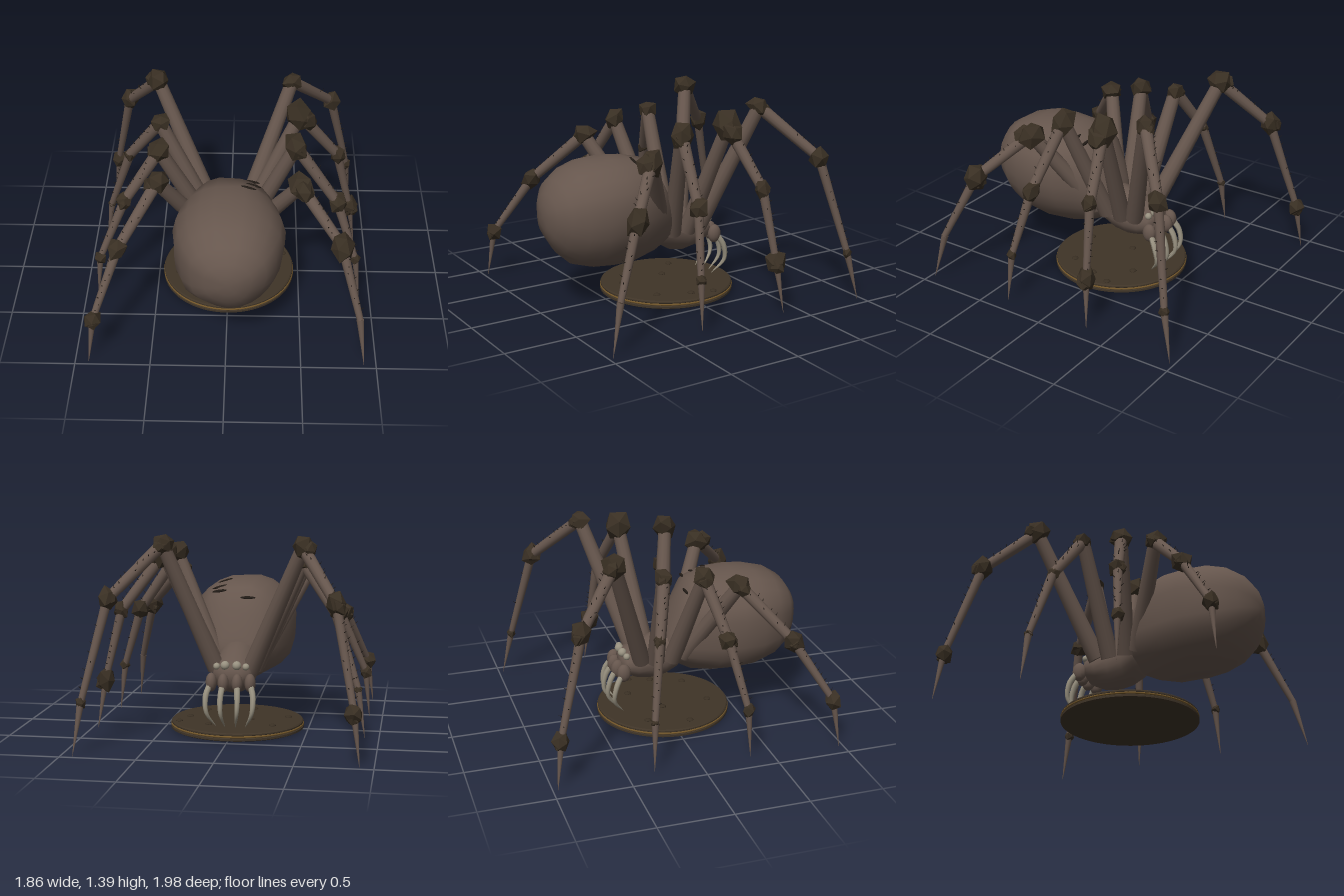
import * as THREE from 'three';
import { mergeGeometries, mergeVertices } from 'three/addons/utils/BufferGeometryUtils.js';

const mat = (name, color, flat = false) => {
  const m = new THREE.MeshStandardMaterial({ color, flatShading: flat });
  m.name = name;
  return m;
};
const V = (x, y, z) => new THREE.Vector3(x, y, z);
const UP = V(0, 1, 0);

function seeded(seed) {
  return () => {
    seed = (seed * 16807) % 2147483647;
    return seed / 2147483647;
  };
}

// Smooth closed body from rings [z, centreY, radiusX, radiusY]; outline scales the radius around each ring
function ringBody(rings, sides, centreX, outline, wobble) {
  const pos = [], idx = [];
  rings.forEach(([z, cy, rx, ry], i) => {
    for (let j = 0; j < sides; j++) {
      const a = (j / sides) * Math.PI * 2, t = (j / sides) * outline.length, f = Math.floor(t);
      const k = THREE.MathUtils.lerp(outline[f], outline[(f + 1) % outline.length], t - f)
        + wobble * Math.sin(a * 5 - z * 14 + 1);
      pos.push(centreX + Math.cos(a) * rx * k, cy + Math.sin(a) * ry * k, z);
      if (i) {
        const n = (j + 1) % sides, p = (i - 1) * sides, q = i * sides;
        idx.push(p + j, p + n, q + j, p + n, q + n, q + j);
      }
    }
  });
  // end caps
  [0, rings.length - 1].forEach((r) => {
    const c = pos.length / 3;
    pos.push(centreX, rings[r][1], rings[r][0] + (r ? 0.005 : -0.005));
    for (let j = 0; j < sides; j++) {
      const a = r * sides + j, b = r * sides + ((j + 1) % sides);
      idx.push(...(r ? [a, b, c] : [b, a, c]));
    }
  });
  const g = new THREE.BufferGeometry();
  g.setAttribute('position', new THREE.Float32BufferAttribute(pos, 3));
  g.setIndex(idx);
  g.computeVertexNormals();
  return g;
}

// Tapered limb between two points
function limb(a, b, ra, rb, sides = 12) {
  const d = b.clone().sub(a);
  const g = new THREE.CylinderGeometry(rb, ra, d.length(), sides);
  g.applyQuaternion(new THREE.Quaternion().setFromUnitVectors(UP, d.normalize()));
  const m = a.clone().add(b).multiplyScalar(0.5);
  return g.translate(m.x, m.y, m.z);
}

// Rough faceted rock stretched along a direction
function rock(c, r, dir, rand) {
  let g = new THREE.IcosahedronGeometry(r, 0);
  g.deleteAttribute('normal');
  g.deleteAttribute('uv');
  g = mergeVertices(g, 1e-4);
  const p = g.attributes.position;
  for (let i = 0; i < p.count; i++) {
    const k = 0.85 + rand() * 0.4;
    p.setXYZ(i, p.getX(i) * k, p.getY(i) * k, p.getZ(i) * k);
  }
  g.rotateY(rand() * 6).scale(0.95, 1.15, 0.95);
  g.applyQuaternion(new THREE.Quaternion().setFromUnitVectors(UP, dir)).translate(c.x, c.y, c.z);
  g.computeVertexNormals();
  return g;
}

export function createModel() {
  const root = new THREE.Group();
  const skin = mat('brown skin', 0x66564d);
  const armour = mat('dark armour', 0x392f23, true);
  const bone = mat('pale bone', 0x989180);
  const plate = mat('plinth brown', 0x3f3427);
  const trim = mat('bronze trim', 0x72562a);
  const hair = mat('black hair', 0x211b16);
  const rand = seeded(77);
  const add = (geo, m, name, parent = root) => {
    const mesh = new THREE.Mesh(geo, m);
    mesh.name = name;
    parent.add(mesh);
    return mesh;
  };

  // Plinth: stepped disc with a bronze line and low pebbles
  const profile = [[0, 0], [0.455, 0], [0.467, 0.006], [0.467, 0.02], [0.458, 0.027], [0.458, 0.036],
    [0.463, 0.041], [0.463, 0.05], [0.455, 0.057], [0, 0.057]].map((p) => new THREE.Vector2(...p));
  const disc = new THREE.LatheGeometry(profile, 64).toNonIndexed();
  disc.computeVertexNormals();
  add(disc, plate, 'plinth').position.z = 0.01;
  const line = add(new THREE.TorusGeometry(0.461, 0.007, 8, 64), trim, 'plinthTrim');
  line.rotation.x = Math.PI / 2;
  line.position.set(0, 0.032, 0.01);
  [[-0.35, 0.1], [-0.27, -0.18], [-0.08, 0.32], [0.17, -0.2], [0.25, 0.24], [0.34, 0.02], [0.39, -0.13], [-0.1, -0.02]]
    .forEach(([x, z]) => {
      const s = add(new THREE.IcosahedronGeometry(0.025, 1), armour, 'pebble');
      s.scale.y = 0.5;
      s.position.set(x, 0.058, z);
    });

  // Abdomen, lumpy and slightly square in section
  const rings = [[0.005, 0.5, 0.09, 0.06], [0.035, 0.52, 0.15, 0.12], [0.1, 0.57, 0.21, 0.22],
    [0.2, 0.63, 0.28, 0.33], [0.35, 0.635, 0.335, 0.365], [0.5, 0.64, 0.365, 0.37], [0.65, 0.64, 0.35, 0.36],
    [0.78, 0.645, 0.305, 0.32], [0.88, 0.655, 0.24, 0.245], [0.94, 0.66, 0.15, 0.155], [0.965, 0.665, 0.07, 0.08]];
  const outline = [1.01, 1.09, 1.06, 1.01, 1.06, 1.1, 1.01, 1.05, 0.98, 1.02, 1, 0.98];
  const abdomen = add(ringBody(rings, 24, 0.015, outline, 0.012), skin, 'abdomen');

  // Dark slits lying on the back
  const ray = new THREE.Raycaster();
  [[-0.05, 0.16], [0.16, 0.2], [0.17, 0.27], [0.14, 0.35]].forEach(([x, z]) => {
    ray.set(V(x, 2, z), V(0, -1, 0));
    const hit = ray.intersectObject(abdomen)[0];
    const s = add(new THREE.SphereGeometry(0.055, 12, 8), hair, 'backSlit');
    s.scale.set(1, 0.14, 0.2);
    s.position.copy(hit.point);
    s.quaternion.setFromUnitVectors(UP, hit.face.normal);
  });

  // Head and thorax
  add(ringBody([[-0.31, 0.42, 0.07, 0.05], [-0.28, 0.415, 0.125, 0.09], [-0.2, 0.41, 0.145, 0.125], [-0.1, 0.42, 0.15, 0.155],
    [0, 0.44, 0.15, 0.16], [0.08, 0.47, 0.16, 0.14], [0.15, 0.5, 0.12, 0.12]], 20, 0, [1], 0.012), skin, 'thorax');

  // Eyes, jaws and fangs
  for (const s of [-1, 1]) {
    [[0.04, 0.49, -0.295, 0.031], [0.1, 0.48, -0.28, 0.024]].forEach(([x, y, z, r]) =>
      add(new THREE.SphereGeometry(r, 14, 10), bone, 'eye').position.set(s * x, y, z));
    [[0.05, 0.035, -0.36, 0.07], [0.14, 0.1, -0.34, 0.07]].forEach(([x, tipX, z, tipY]) => {
      const jaw = add(new THREE.SphereGeometry(0.045, 12, 10), skin, 'jaw');
      jaw.scale.set(0.85, 1.45, 1.1);
      jaw.position.set(s * x * 0.95, 0.375, z + 0.03);
      const path = new THREE.CatmullRomCurve3([V(s * x, 0.36, z + 0.01), V(s * x * 1.15, 0.29, z - 0.03),
        V(s * x * 1.1, 0.18, z - 0.045), V(s * tipX, tipY, z + 0.03)]);
      const g = new THREE.TubeGeometry(path, 14, 0.021, 8);
      // taper the tube towards its tip
      const p = g.attributes.position;
      for (let i = 0; i < p.count; i++) {
        const t = Math.floor(i / 9) / 14, c = path.getPointAt(t);
        const v = V(p.getX(i), p.getY(i), p.getZ(i)).sub(c).multiplyScalar(1 - 0.95 * t * t).add(c);
        p.setXYZ(i, v.x, v.y, v.z);
      }
      g.computeVertexNormals();
      add(g, bone, 'fang');
    });
  }

  // Legs: base, three joints, tip, then the armour radius at each joint
  const legs = [
    [[0.12, 0.45, -0.18], [0.43, 1.32, -0.46], [0.73, 0.99, -0.75], [0.88, 0.33, -0.9], [0.92, 0.0, -0.97], [0.07, 0.07, 0.035]],
    [[0.13, 0.44, -0.08], [0.48, 1.23, -0.17], [0.76, 0.85, -0.26], [0.87, 0.37, -0.3], [0.92, 0.03, -0.33], [0.1, 0.055, 0.07]],
    [[0.13, 0.44, 0.04], [0.45, 1.2, 0.17], [0.74, 0.79, 0.23], [0.88, 0.36, 0.3], [0.92, 0.03, 0.315], [0.08, 0.065, 0.035]],
    [[0.13, 0.46, 0.12], [0.48, 1.06, 0.42], [0.75, 0.78, 0.69], [0.88, 0.33, 0.89], [0.92, 0.0, 0.97], [0.09, 0.08, 0.02]],
    [[-0.12, 0.45, -0.18], [-0.5, 1.31, -0.47], [-0.74, 0.98, -0.75], [-0.87, 0.33, -0.93], [-0.91, 0.0, -0.97], [0.08, 0.07, 0.06]],
    [[-0.13, 0.44, -0.08], [-0.47, 1.18, -0.13], [-0.7, 0.85, -0.23], [-0.86, 0.36, -0.31], [-0.91, 0.03, -0.33], [0.065, 0.045, 0.028]],
    [[-0.13, 0.44, 0.04], [-0.46, 1.14, 0.15], [-0.7, 0.79, 0.24], [-0.88, 0.36, 0.32], [-0.91, 0.03, 0.33], [0.07, 0.06, 0.045]],
    [[-0.13, 0.46, 0.12], [-0.46, 1.06, 0.4], [-0.71, 0.73, 0.69], [-0.87, 0.33, 0.93], [-0.91, 0.0, 0.97], [0.075, 0.07, 0.06]]];
  const radii = [[0.062, 0.046], [0.042, 0.034], [0.033, 0.022], [0.025, 0.001]];
  legs.forEach((data, n) => {
    const leg = new THREE.Group();
    leg.name = (n < 4 ? 'leftLeg' : 'rightLeg') + ((n % 4) + 1);
    root.add(leg);
    const p = data.slice(0, 5).map((a) => V(...a));
    const hairs = [];
    radii.forEach(([ra, rb], i) => {
      add(limb(p[i], p[i + 1], ra, rb), skin, ['thigh', 'shin', 'foot', 'claw'][i], leg);
      const dir = p[i + 1].clone().sub(p[i]).normalize();
      if (i !== 1 && i !== 2) return;
      // bristles along the outer side
      const out = V(p[i].x, 0.5, p[i].z).projectOnPlane(dir).normalize();
      for (let k = 0; k < 9; k++) {
        const t = 0.18 + k * 0.085, r = ra + (rb - ra) * t;
        const o = out.clone().applyAxisAngle(dir, (rand() - 0.5) * 2.2);
        const c = p[i].clone().lerp(p[i + 1], t).addScaledVector(o, r * 0.9);
        hairs.push(limb(c, c.clone().addScaledVector(o, 0.024).addScaledVector(dir, -0.008), 0.004, 0.0005, 5));
      }
    });
    add(mergeGeometries(hairs), hair, 'bristles', leg);
    // armoured joints: a main rock with a smaller one overlapping it further down the leg
    data[5].forEach((r, i) => {
      const c = p[i + 1], dir = p[i + 2].clone().sub(c).normalize();
      const shift = dir.clone().multiplyScalar(r * 0.45).add(V(rand() - 0.5, rand() * 0.5, rand() - 0.5).multiplyScalar(r * 0.7));
      const rocks = [rock(c, r, dir, rand), rock(c.clone().add(shift), r * 0.7, dir, rand)];
      add(mergeGeometries(rocks), armour, ['kneeArmour', 'shinArmour', 'ankleArmour'][i], leg);
    });
  });

  return root;
}
